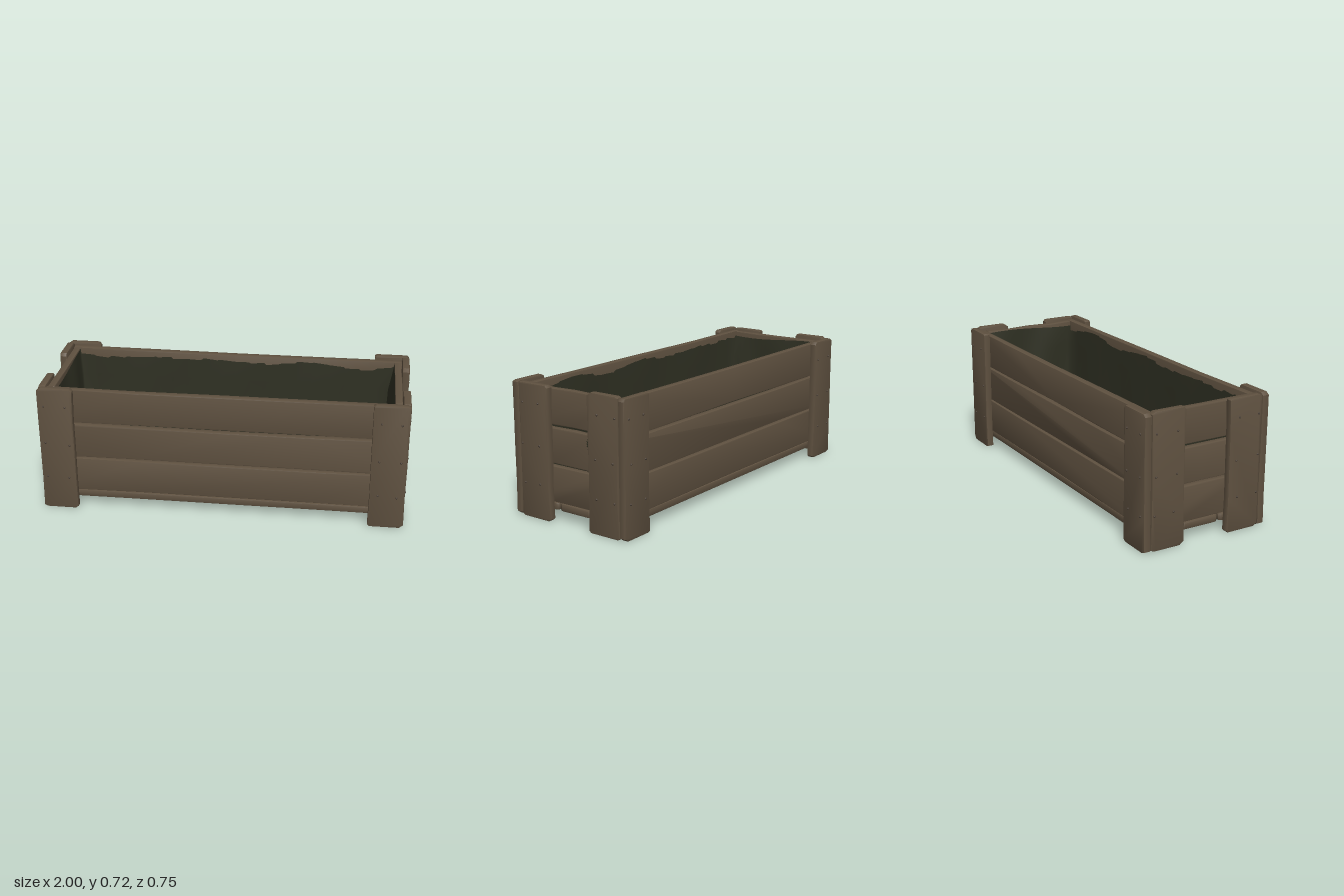
import * as THREE from 'three';
import { toCreasedNormals } from 'three/addons/utils/BufferGeometryUtils.js';

const wood = new THREE.MeshStandardMaterial({ color: 0x5f5140 });
wood.name = 'weathered wood';
const cloth = new THREE.MeshStandardMaterial({ color: 0x2e2f22, side: THREE.DoubleSide });
cloth.name = 'dark green liner';
const iron = new THREE.MeshStandardMaterial({ color: 0x4b4036 });
iron.name = 'rusty nail';

let seed = 7;
const rand = () => (seed = (seed * 16807) % 2147483647) / 2147483647;

// Board lying along x: clipped corners, slightly uneven long edges, bevelled rim
function plankGeometry(length, width, thick, clip = 0.012) {
  const l = length / 2, w = width / 2, b = 0.005, pts = [];
  for (const s of [-1, 1]) {
    const c = clip * (0.5 + rand()), d = clip * (0.5 + rand());
    pts.push([s * l, s * (-w + c)], [s * l, s * (w - d)], [s * (l - d * 0.7), s * w]);
    for (const t of [0.5, 0, -0.5]) pts.push([s * l * t, s * (w - rand() * 0.005)]);
    pts.push([s * (-l + c * 0.7), s * w]);
  }
  const shape = new THREE.Shape(pts.map(p => new THREE.Vector2(p[0], p[1])));
  const geo = new THREE.ExtrudeGeometry(shape, {
    depth: thick - 2 * b, bevelEnabled: true, bevelThickness: b,
    bevelSize: b, bevelOffset: -b, bevelSegments: 2
  });
  geo.translate(0, 0, b - thick / 2);
  return toCreasedNormals(geo, 0.6);
}

function addPlank(group, name, size, pos, rot, clip) {
  const mesh = new THREE.Mesh(plankGeometry(...size, clip), wood);
  mesh.name = name;
  mesh.position.set(...pos);
  mesh.rotation.set(...rot);
  group.add(mesh);
}

// Soft bag: rectangular rings from the rim down to the floor, with gentle folds
function linerGeometry() {
  const levels = [
    [0.685, 0.912, 0.287], [0.55, 0.905, 0.283], [0.35, 0.9, 0.278], [0.2, 0.885, 0.268],
    [0.14, 0.85, 0.245], [0.115, 0.79, 0.2], [0.11, 0.5, 0.1], [0.11, 0, 0]
  ];
  const side = 20, n = side * 4, pos = [], index = [];
  levels.forEach(([y, a, b], k) => {
    for (let i = 0; i < n; i++) {
      const t = (i % side) / side * 2 - 1;
      const [u, v] = [[1, t], [-t, 1], [-1, -t], [t, -1]][Math.floor(i / side)];
      const fold = 1 - 0.012 * (1 + Math.sin(u * 11 + v * 5 + k)) * (k > 0 && k < 6 ? 1 : 0);
      const sag = k === 0 ? 0.012 * Math.sin(u * 9 + v * 2) : 0;
      pos.push(a * u * fold, y + sag, b * v * fold);
    }
  });
  for (let k = 0; k < levels.length - 1; k++) {
    for (let i = 0; i < n; i++) {
      const a = k * n + i, b = k * n + (i + 1) % n, c = a + n, d = b + n;
      index.push(a, c, b, b, c, d);
    }
  }
  const geo = new THREE.BufferGeometry();
  geo.setAttribute('position', new THREE.Float32BufferAttribute(pos, 3));
  geo.setIndex(index);
  geo.computeVertexNormals();
  return geo;
}

export function createModel() {
  const model = new THREE.Group();
  model.name = 'planterCrate';
  const H = Math.PI / 2;

  // Three boards on each wall
  [0.197, 0.4, 0.606].forEach((y, i) => {
    for (const s of [-1, 1]) {
      addPlank(model, 'longSideBoard', [1.91, 0.196, 0.04], [0, y, s * 0.306], [0, 0, (rand() - 0.5) * 0.003], 0.006);
      addPlank(model, 'endBoard', [0.57, [0.196, 0.192, 0.194][i], 0.038], [s * 0.932, y, 0], [0, s * H, 0], 0.006);
    }
  });

  // Floor boards
  for (const z of [-0.216, 0.003, 0.22]) {
    addPlank(model, 'floorBoard', [1.9, 0.205, 0.038], [0, 0.076, z], [H, 0, 0], 0.01);
  }

  // Corner posts, each from two upright boards, with nails
  const nailGeo = new THREE.SphereGeometry(0.006, 8, 6);
  const addNail = (group, x, y, z) => {
    const nail = new THREE.Mesh(nailGeo, iron);
    nail.name = 'nail';
    nail.position.set(x, y, z);
    group.add(nail);
  };
  for (const sx of [-1, 1]) {
    for (const sz of [-1, 1]) {
      const corner = new THREE.Group();
      corner.name = 'cornerPost';
      const h = sz > 0 ? 0.714 : 0.722;
      addPlank(corner, 'postFaceBoard', [0.717, 0.194, 0.039], [sx * 0.898, 0.361, sz * 0.348], [0, 0, H], 0.016);
      addPlank(corner, 'postEndBoard', [h, 0.194, 0.039], [sx * 0.975, 0.003 + h / 2, sz * 0.228], [0, sx * H, H], 0.016);
      for (const y of [0.19, 0.395, 0.615]) {
        for (const d of [0, 0.115]) {
          const j = (rand() - 0.5) * 0.02;
          addNail(corner, sx * 0.995, y + j / 2, sz * (0.302 - d + j));
          addNail(corner, sx * (0.955 - d + j), y + j / 2, sz * 0.368);
        }
      }
      model.add(corner);
    }
  }

  const liner = new THREE.Mesh(linerGeometry(), cloth);
  liner.name = 'liner';
  model.add(liner);

  // Ragged patch of liner showing through one end board
  const patchPts = [];
  for (let i = 0; i < 28; i++) {
    const a = i / 28 * Math.PI * 2, r = i % 2 ? 0.024 : 0.036;
    patchPts.push(new THREE.Vector2(r * 0.8 * Math.cos(a), r * Math.sin(a)));
  }
  const patch = new THREE.Mesh(new THREE.ShapeGeometry(new THREE.Shape(patchPts)), cloth);
  patch.name = 'linerPatch';
  patch.position.set(0.953, 0.447, -0.115);
  patch.rotation.y = H;
  model.add(patch);

  return model;
}
